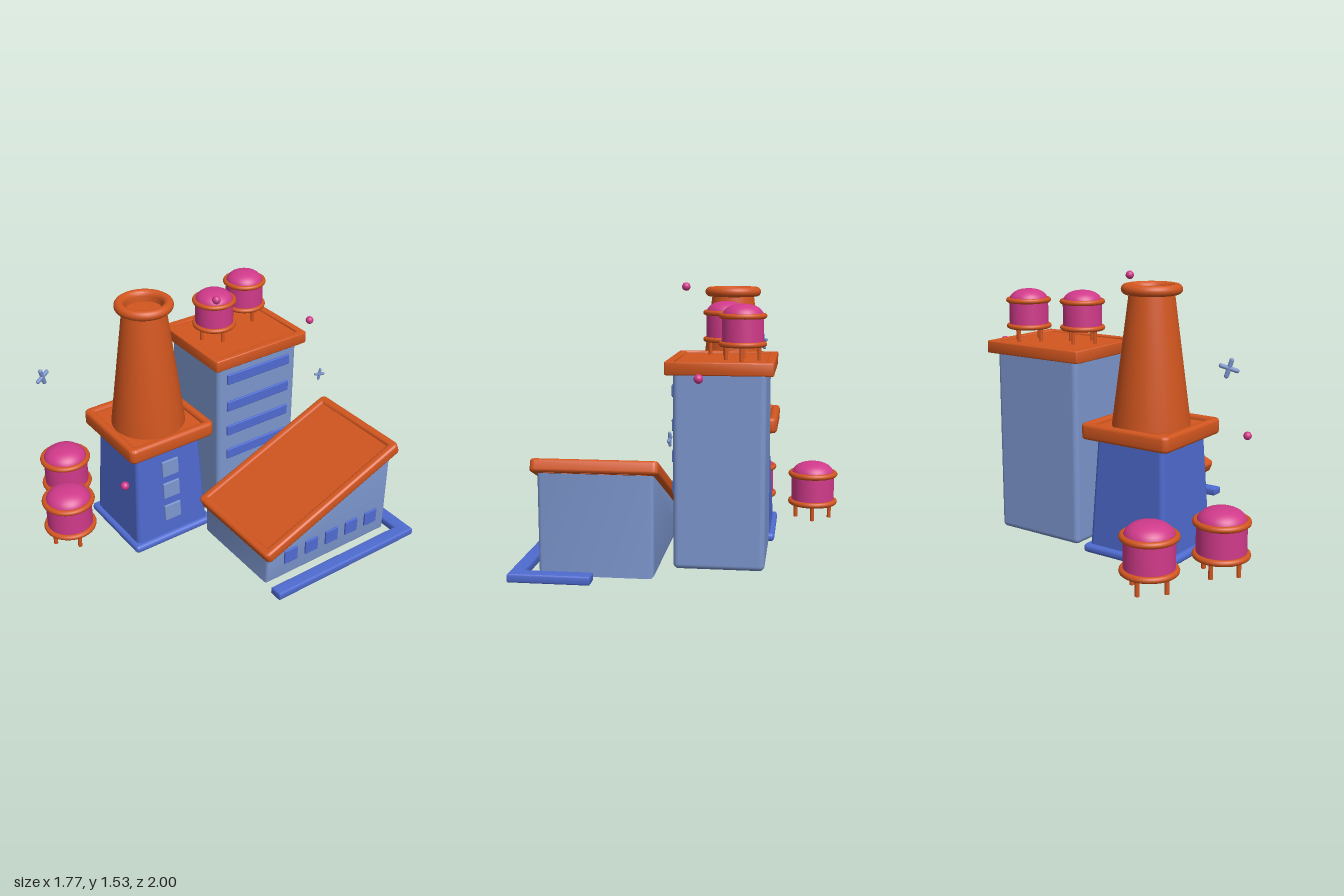
import * as THREE from 'three';
import { toCreasedNormals } from 'three/addons/utils/BufferGeometryUtils.js';
import { RoundedBoxGeometry } from 'three/addons/geometries/RoundedBoxGeometry.js';

const mat = (color) => new THREE.MeshStandardMaterial({ color });
const ORANGE = mat(0xd2561f), LIGHT = mat(0x7b95cc), BLUE = mat(0x4f6bd0), PINK = mat(0xd03a8a);

function add(parent, name, geometry, material, x = 0, y = 0, z = 0) {
  const mesh = new THREE.Mesh(geometry, material);
  mesh.name = name;
  mesh.position.set(x, y, z);
  parent.add(mesh);
  return mesh;
}

function group(parent, name, x = 0, y = 0, z = 0) {
  const g = new THREE.Group();
  g.name = name;
  g.position.set(x, y, z);
  parent.add(g);
  return g;
}

const roundBox = (w, h, d, r) => new RoundedBoxGeometry(w, h, d, 3, r);

// Rounded rectangle outline centred on the origin
function roundRect(path, w, d, r) {
  const x = w / 2, y = d / 2;
  path.moveTo(-x + r, -y);
  path.lineTo(x - r, -y).absarc(x - r, -y + r, r, -Math.PI / 2, 0);
  path.lineTo(x, y - r).absarc(x - r, y - r, r, 0, Math.PI / 2);
  path.lineTo(-x + r, y).absarc(-x + r, y - r, r, Math.PI / 2, Math.PI);
  path.lineTo(-x, -y + r).absarc(-x + r, -y + r, r, Math.PI, Math.PI * 1.5);
  return path;
}

// Bevelled outline extruded from z = 0 to z = depth
function extrude(shape, depth, bevel) {
  const geo = new THREE.ExtrudeGeometry(shape, {
    depth: depth - 2 * bevel, bevelEnabled: true, bevelSize: bevel,
    bevelThickness: bevel, bevelSegments: 3, curveSegments: 6,
  });
  geo.translate(0, 0, bevel);
  return toCreasedNormals(geo, 0.7);
}

// Roof slab with a raised rim around a sunken floor; underside at y = 0
function addRoof(parent, name, w, d, h, rim, recess, bevel, corner) {
  const roof = group(parent, name);
  const shape = roundRect(new THREE.Shape(), w - 2 * bevel, d - 2 * bevel, corner);
  const inner = 2 * (rim - bevel);
  shape.holes.push(roundRect(new THREE.Path(), w - inner, d - inner, corner));
  const geo = extrude(shape, h, bevel);
  geo.rotateX(-Math.PI / 2);
  add(roof, 'roofRim', geo, ORANGE);
  const fh = h - recess;
  add(roof, 'roofFloor', new THREE.BoxGeometry(w - 2 * rim + 0.01, fh, d - 2 * rim + 0.01), ORANGE, 0, fh / 2, 0);
  return roof;
}

// Domed tank with two rings, on four legs
function addTank(parent, name, x, y, z, scale) {
  const tank = group(parent, name, x, y, z);
  tank.scale.setScalar(scale);
  const profile = [new THREE.Vector2(0, 0.08), new THREE.Vector2(0.109, 0.08), new THREE.Vector2(0.109, 0.228)];
  add(tank, 'tankBody', toCreasedNormals(new THREE.LatheGeometry(profile, 40), 0.7), PINK);
  const dome = [];
  for (let i = 0; i <= 10; i++) {
    const a = (i / 10) * Math.PI / 2;
    dome.push(new THREE.Vector2(0.108 * Math.cos(a) ** 0.85, 0.228 + 0.064 * Math.sin(a)));
  }
  dome[10].x = 0;
  add(tank, 'tankDome', new THREE.LatheGeometry(dome, 40), PINK);
  for (const ry of [0.085, 0.23]) {
    add(tank, 'tankRing', new THREE.TorusGeometry(0.112, 0.014, 10, 40), ORANGE, 0, ry, 0).rotation.x = Math.PI / 2;
  }
  for (let i = 0; i < 4; i++) {
    const a = i * Math.PI / 2;
    add(tank, 'tankLeg', new THREE.CylinderGeometry(0.01, 0.01, 0.085, 12), ORANGE,
      0.086 * Math.cos(a), 0.0425, 0.086 * Math.sin(a));
  }
}

// Tapered tower carrying the chimney
function addChimneyTower(site) {
  const tower = group(site, 'chimneyTower', -0.297, 0, -0.244);
  add(tower, 'towerPlinth', roundBox(0.55, 0.05, 0.55, 0.022), BLUE, 0, 0.028, 0);
  const h = 0.67, half = (y) => 0.25 - 0.035 * y / h;
  const body = roundBox(0.5, h, 0.5, 0.03);
  body.translate(0, h / 2, 0);
  const p = body.attributes.position;
  for (let i = 0; i < p.count; i++) {
    const s = half(p.getY(i)) / 0.25;
    p.setX(i, p.getX(i) * s);
    p.setZ(i, p.getZ(i) * s);
  }
  add(tower, 'towerBody', body, BLUE);
  for (const y of [0.2, 0.357, 0.508]) {
    add(tower, 'towerWindow', roundBox(0.11, 0.104, 0.024, 0.004), LIGHT, 0, y, half(y)).rotation.x = -0.052;
  }
  addRoof(tower, 'towerRoof', 0.565, 0.565, 0.09, 0.05, 0.025, 0.018, 0.02).position.y = 0.658;

  // Chimney wall, rolled lip and sunken mouth in one turned profile
  const pts = [[0.217, 0.715], [0.217, 0.735], [0.125, 1.447]].map(([x, y]) => new THREE.Vector2(x, y));
  for (let i = 0; i <= 12; i++) {
    const a = -Math.PI / 2 + (i / 12) * Math.PI * 1.5;
    pts.push(new THREE.Vector2(0.138 + 0.029 * Math.cos(a), 1.472 + 0.029 * Math.sin(a)));
  }
  pts.push(new THREE.Vector2(0.107, 1.44), new THREE.Vector2(0, 1.44));
  add(tower, 'chimney', toCreasedNormals(new THREE.LatheGeometry(pts, 56), 0.7), ORANGE);
}

// Tall block with strip windows and roof tanks
function addTallBlock(site) {
  const block = group(site, 'tallBlock', 0.323, 0, -0.244);
  add(block, 'blockBody', roundBox(0.572, 1.08, 0.492, 0.03), LIGHT, 0, 0.558, 0);
  for (const y of [0.458, 0.625, 0.795, 0.978]) {
    add(block, 'stripWindow', roundBox(0.453, 0.066, 0.024, 0.006), BLUE, 0, y, 0.246);
  }
  addRoof(block, 'blockRoof', 0.655, 0.57, 0.07, 0.045, 0.01, 0.006, 0.008).position.y = 1.072;
  addTank(block, 'roofTank', -0.147, 1.138, 0.001, 1.02);
  addTank(block, 'roofTank', 0.154, 1.138, -0.112, 1.02);
}

// Low hall with a single-pitch roof
function addHall(site) {
  const hall = group(site, 'hall');
  const b = 0.022, tilt = 0.395;
  const wedge = new THREE.Shape([[-0.107, 0.02], [0.794, 0.02], [0.794, 0.585], [-0.107, 0.21]]
    .map(([x, y], i) => new THREE.Vector2(x + (x < 0 ? b : -b), y + (i < 2 ? b : -b))));
  add(hall, 'hallBody', extrude(wedge, 0.615, b), LIGHT, 0, 0, 0.075);
  for (let i = 0; i < 5; i++) {
    add(hall, 'hallWindow', roundBox(0.093, 0.091, 0.024, 0.004), BLUE, 0.059 + i * 0.152, 0.163, 0.689);
  }
  const pitch = group(hall, 'hallRoof', 0.348, 0.423, 0.383);
  pitch.rotation.z = tilt;
  addRoof(pitch, 'hallRoofSlab', 1.038, 0.675, 0.07, 0.05, 0.012, 0.014, 0.016).position.y = -0.035;

  // L-shaped kerb along the front and right side
  const kerb = new THREE.Shape([[-0.117, -0.822], [0.897, -0.822], [0.897, -0.4], [0.833, -0.4], [0.833, -0.763], [-0.117, -0.763]]
    .map(([x, y]) => new THREE.Vector2(x, y)));
  const geo = extrude(kerb, 0.048, 0.008);
  geo.rotateX(-Math.PI / 2);
  add(hall, 'kerb', geo, BLUE, 0, 0.008, 0);
}

// Small floating four-armed spark
function addSpark(model, x, y, z, size, yaw, roll) {
  const spark = group(model, 'spark', x, y, z);
  spark.rotation.set(0, yaw, roll);
  for (const turn of [0, Math.PI / 2]) {
    const r = size * 0.11;
    add(spark, 'sparkArm', new THREE.CapsuleGeometry(r, size - 2 * r, 4, 10), LIGHT).rotation.z = turn;
  }
}

export function createModel() {
  const model = new THREE.Group();
  model.name = 'factory';
  const site = group(model, 'site');
  site.rotation.y = -0.195;
  addChimneyTower(site);
  addTallBlock(site);
  addHall(site);

  // Ground tanks behind the chimney tower
  const yard = group(model, 'tankYard');
  for (const [x, z] of [[-0.731, -0.495], [-0.468, -0.85]]) {
    addTank(yard, 'groundTank', x, 0.008, z, 1.25);
  }
  yard.children.forEach((tank) => { tank.rotation.y = -0.195; });

  // Floating beads and sparks
  for (const [x, y] of [[0.02, 1.51], [0.86, 1.08], [-0.705, 0.635]]) {
    add(model, 'bead', new THREE.SphereGeometry(0.024, 20, 14), PINK, x, y, 0.005);
  }
  addSpark(model, -0.775, 1.127, -0.565, 0.108, 0.25, 0.3);
  addSpark(model, 0.81, 0.77, 0.145, 0.08, -0.25, -0.2);
  return model;
}
